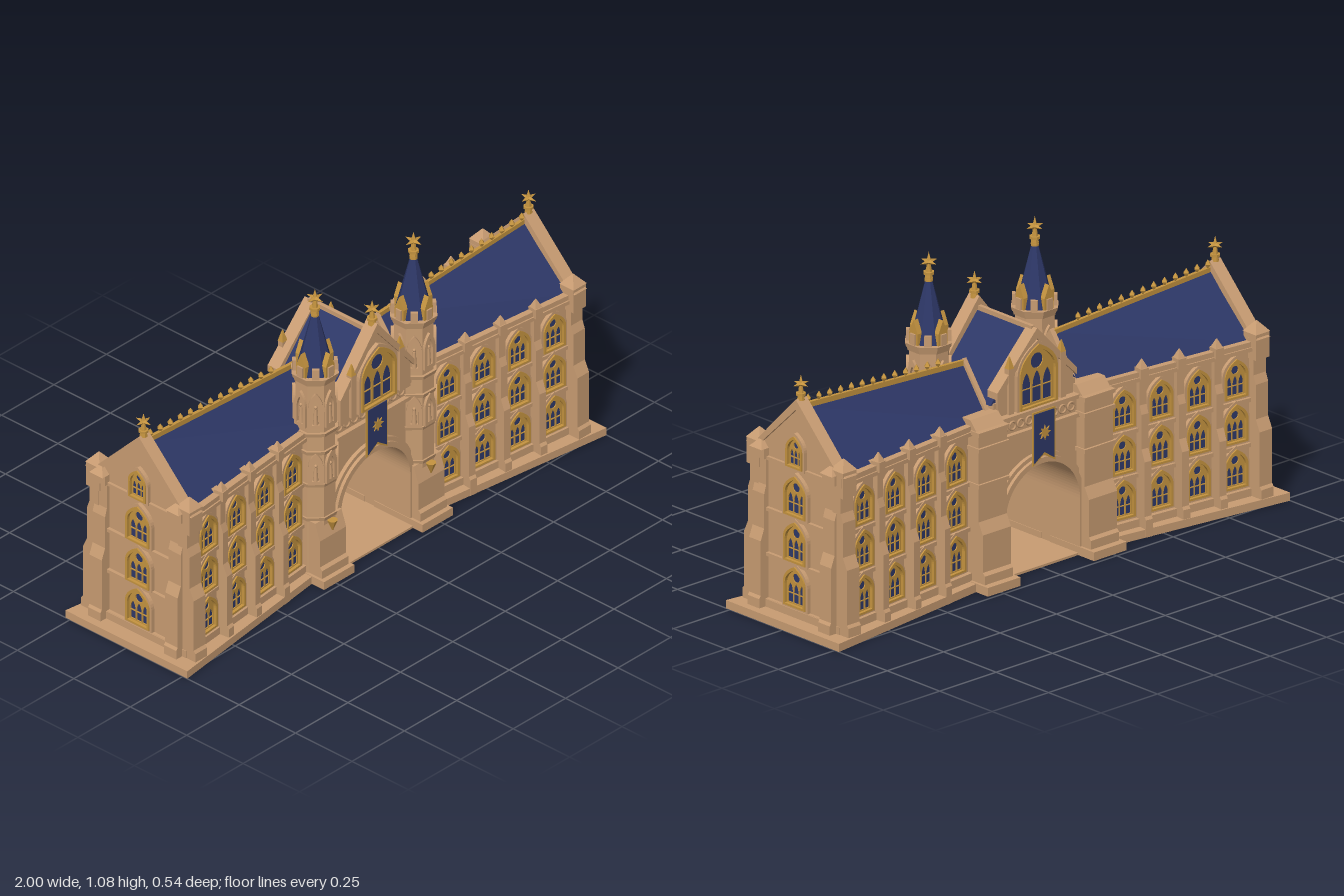
import * as THREE from 'three';

const stone = new THREE.MeshStandardMaterial({ color: 0xc89c72 });
stone.name = 'warm stone';
const gold = new THREE.MeshStandardMaterial({ color: 0xc4933f });
gold.name = 'gold';
const navy = new THREE.MeshStandardMaterial({ color: 0x2e3868 });
navy.name = 'navy slate';

function add(parent, name, geo, mat, x = 0, y = 0, z = 0) {
  const m = new THREE.Mesh(geo, mat);
  m.name = name;
  m.position.set(x, y, z);
  parent.add(m);
  return m;
}
function group(parent, name, x = 0, y = 0, z = 0, ry = 0) {
  const g = new THREE.Group();
  g.name = name;
  g.position.set(x, y, z);
  g.rotation.y = ry;
  parent.add(g);
  return g;
}
const box = (w, h, d) => new THREE.BoxGeometry(w, h, d);
function flat(geo) {
  const g = geo.index ? geo.toNonIndexed() : geo;
  g.computeVertexNormals();
  return g;
}
// Prism with n sides, a flat face towards +z
const prism = (rt, rb, h, n = 8) => flat(new THREE.CylinderGeometry(rt, rb, h, n).rotateY(Math.PI / n));
const poly = pts => new THREE.Shape(pts.map(p => new THREE.Vector2(...p)));
const extrude = (shape, depth) => new THREE.ExtrudeGeometry(shape, { depth, bevelEnabled: false, curveSegments: 8 });

// Solid between two cross-sections of [z, y] points at x0 and x1
function loft(x0, s0, x1, s1) {
  const v = [], n = s0.length;
  const a = i => v.push(x0, s0[i % n][1], s0[i % n][0]);
  const b = i => v.push(x1, s1[i % n][1], s1[i % n][0]);
  for (let i = 0; i < n; i++) {
    a(i); a(i + 1); b(i + 1);
    a(i); b(i + 1); b(i);
    if (i > 0 && i < n - 1) {
      b(0); b(i); b(i + 1);
      a(0); a(i + 1); a(i);
    }
  }
  const g = new THREE.BufferGeometry();
  g.setAttribute('position', new THREE.Float32BufferAttribute(v, 3));
  g.computeVertexNormals();
  return g;
}
const rect = (h, y0, y1) => [[h, y0], [-h, y0], [-h, y1], [h, y1]];

// Pointed arch outline standing on y
function arch(w, h, x = 0, y = 0, T = THREE.Shape) {
  const s = h * 0.55, c = s + (h - s) * 0.6, p = new T();
  p.moveTo(x - w / 2, y);
  p.lineTo(x + w / 2, y);
  p.lineTo(x + w / 2, y + s);
  p.quadraticCurveTo(x + w / 2, y + c, x, y + h);
  p.quadraticCurveTo(x - w / 2, y + c, x - w / 2, y + s);
  p.closePath();
  return p;
}
const cache = {};
function windowParts(w, h) {
  const key = w + '/' + h;
  if (cache[key]) return cache[key];
  const frame = arch(w + 0.032, h + 0.034, 0, -0.013);
  frame.holes.push(arch(w, h, 0, 0, THREE.Path));
  const hood = arch(w + 0.016, h + 0.016, 0, -0.006);
  hood.holes.push(arch(w * 0.98, h * 0.98, 0, 0.001, THREE.Path));
  const tracery = arch(w, h);
  for (let i = -1; i <= 1; i++) tracery.holes.push(arch(w * 0.25, h * 0.54, i * w * 0.305, h * 0.04, THREE.Path));
  const rose = new THREE.Path();
  rose.absarc(0, h * 0.75, w * 0.18, 0, Math.PI * 2);
  tracery.holes.push(rose);
  return (cache[key] = { frame: extrude(frame, 0.014), hood: extrude(hood, 0.019), tracery: extrude(tracery, 0.008),
    glass: extrude(arch(w, h), 0.003), bar: box(w * 0.95, 0.003, 0.008) });
}
function addWindow(parent, x, y, z, w, h) {
  const g = group(parent, 'window', x, y, z), p = windowParts(w, h);
  add(g, 'windowSurround', p.frame, stone);
  add(g, 'windowMoulding', p.hood, gold);
  add(g, 'tracery', p.tracery, gold);
  add(g, 'glass', p.glass, navy, 0, 0, 0.001);
  add(g, 'glazingBar', p.bar, gold, 0, h * 0.3, 0.004);
}

// Stepped buttress facing local +z with a small pinnacle
function buttress(parent, x, z, w, ry = 0, s = 1) {
  const g = group(parent, 'buttress', x, 0, z, ry);
  const shape = poly([[-0.02, 0], [0.052 * s, 0], [0.052 * s, 0.06], [0.045 * s, 0.07], [0.045 * s, 0.26],
    [0.028 * s, 0.3], [0.028 * s, 0.42], [0.018 * s, 0.45], [0.018 * s, 0.56], [-0.02, 0.575]]);
  add(g, 'buttressShaft', extrude(shape, w).translate(0, 0, -w / 2).rotateY(-Math.PI / 2), stone);
  add(g, 'pinnacleBlock', box(w * 1.1, 0.035, 0.036), stone, 0, 0.56, 0.01);
  add(g, 'pinnacle', prism(0.002, w * 0.75, 0.03, 4), stone, 0, 0.592, 0.01);
}
function finial(parent, x, y, z, h, mat = gold) {
  const g = group(parent, 'finial', x, y, z);
  add(g, 'finialStem', prism(h * 0.06, h * 0.16, h * 0.7), mat, 0, h * 0.35, 0);
  add(g, 'finialCollar', prism(h * 0.2, h * 0.2, h * 0.1), mat, 0, h * 0.25, 0);
  for (const [sx, sy, sz] of [[0.4, 0.12, 0.12], [0.12, 0.38, 0.12], [0.12, 0.12, 0.4]])
    add(g, 'finialStar', new THREE.OctahedronGeometry(h), mat, 0, h * 0.66, 0).scale.set(sx, sy, sz);
}
// Gable wall with a raised coping, spanning local x
function gable(parent, hw, y0, eave, apex, depth, z) {
  add(parent, 'gableWall', extrude(poly([[-hw, y0], [hw, y0], [hw, eave], [0, apex], [-hw, eave]]), depth), stone, 0, 0, z);
  const e = hw + 0.008, t = 0.024;
  add(parent, 'gableCoping', extrude(poly([[-e, eave - t], [-e, eave], [0, apex + 0.012], [e, eave], [e, eave - t], [0, apex - t]]),
    depth + 0.018), stone, 0, 0, z - 0.009);
}

function wing(parent, ry) {
  const g = group(parent, 'wing', 0, 0, 0, ry);
  add(g, 'wingBase', loft(0.17, rect(0.16, 0, 0.028), 1, rect(0.27, 0, 0.028)), stone);
  add(g, 'wingPlinth', loft(0.17, rect(0.135, 0.02, 0.055), 0.945, rect(0.213, 0.02, 0.055)), stone);
  add(g, 'wingWalls', loft(0.2, rect(0.12, 0, 0.555), 0.93, rect(0.198, 0, 0.555)), stone);
  const tri = (h, e, r) => [[h, e], [-h, e], [0, r]];
  add(g, 'wingRoof', loft(0.2, tri(0.122, 0.552, 0.72), 0.92, tri(0.198, 0.552, 0.757)), navy);
  add(g, 'innerCoping', loft(0.185, tri(0.135, 0.55, 0.735), 0.203, tri(0.137, 0.55, 0.736)), stone);
  // Golden ridge crest
  add(g, 'ridgeCrest', loft(0.2, rect(0.006, 0.71, 0.73), 0.92, rect(0.006, 0.747, 0.767)), gold);
  for (let i = 0; i < 13; i++) {
    const x = 0.31 + i * 0.048;
    add(g, 'crestBud', new THREE.OctahedronGeometry(0.012), gold, x, 0.742 + (x - 0.2) * 0.051, 0).scale.y = 1.4;
  }
  // Two long facades
  for (const side of [1, -1]) {
    const f = group(g, 'facade', 0.6, 0, side * 0.162, side > 0 ? -0.107 : Math.PI + 0.107);
    for (const [y, d] of [[0.205, 0.022], [0.362, 0.022], [0.54, 0.04]]) add(f, 'stringCourse', box(0.68, 0.014, d), stone, 0, y, 0);
    add(f, 'parapet', box(0.68, 0.02, 0.03), stone, 0, 0.555, 0);
    for (const x of [-0.228, -0.076, 0.076, 0.228])
      for (const y of [0.075, 0.232, 0.389]) addWindow(f, x, y, 0, 0.078, 0.12);
    for (const x of [-0.152, 0, 0.152]) buttress(f, x, 0, 0.028);
    // Corner buttresses and pinnacles
    buttress(g, 0.915, side * 0.196, 0.055, side > 0 ? 0 : Math.PI, 1.1);
    buttress(g, 0.925, side * 0.168, 0.055, Math.PI / 2, 0.9);
    add(g, 'cornerBlock', box(0.06, 0.09, 0.06), stone, 0.915, 0.55, side * 0.2);
    add(g, 'cornerCap', prism(0.004, 0.045, 0.035, 4), stone, 0.915, 0.612, side * 0.2);
  }
  // End wall
  const end = group(g, 'endWall', 0.93, 0, 0, Math.PI / 2);
  gable(end, 0.185, 0.54, 0.59, 0.775, 0.03, -0.028);
  for (const y of [0.05, 0.21, 0.367, 0.545]) add(end, 'stringCourse', box(0.29, 0.012, 0.024), stone, 0, y, 0);
  for (const y of [0.07, 0.225, 0.385]) addWindow(end, 0, y, 0.001, 0.088, 0.125);
  addWindow(end, 0, 0.555, 0.003, 0.06, 0.095);
  finial(end, 0, 0.78, -0.012, 0.085);
}

function niche(parent, angle, r, y, w, h) {
  const n = group(parent, 'niche', Math.sin(angle) * r, y, Math.cos(angle) * r, angle);
  add(n, 'nicheFrame', windowParts(w, h).frame, stone).scale.set(0.75, 1, 0.7);
  add(n, 'figure', new THREE.CylinderGeometry(0.005, 0.009, h * 0.6, 8), stone, 0, h * 0.3, 0.002);
  add(n, 'figureHead', new THREE.SphereGeometry(0.006, 8, 6), stone, 0, h * 0.66, 0.003);
}

function turret(parent, x) {
  const g = group(parent, 'turret', x, 0, 0.125);
  add(g, 'turretFoot', box(0.145, 0.03, 0.215), stone, 0, 0.015, 0);
  add(g, 'turretPier', extrude(poly([[-0.05, 0], [0.09, 0], [0.09, 0.06], [0.08, 0.07], [0.08, 0.17], [0.06, 0.23], [-0.05, 0.23]]), 0.125)
    .translate(0, 0, -0.0625).rotateY(-Math.PI / 2), stone);
  add(g, 'turretShaft', prism(0.069, 0.073, 0.77), stone, 0, 0.385, 0);
  for (const [y, r] of [[0.235, 0.078], [0.365, 0.077], [0.49, 0.079], [0.56, 0.08], [0.755, 0.077], [0.768, 0.083]])
    add(g, 'turretCornice', prism(r, r - 0.004, 0.014), stone, 0, y, 0);
  add(g, 'turretCorbel', prism(0.018, 0.002, 0.04), gold, 0, 0.205, 0.078);
  for (let i = 0; i < 8; i++) {
    const a = i * Math.PI / 4;
    niche(g, a, 0.064, 0.6, 0.034, 0.1);
    if (i < 2 || i === 7) niche(g, a, 0.066, 0.385, 0.034, 0.085);
    // Battlements and gablets around the spire
    const b = group(g, 'turretCrown', Math.sin(a) * 0.068, 0.775, Math.cos(a) * 0.068, a);
    add(b, 'merlon', box(0.024, 0.04, 0.012), stone, 0, 0.018, 0);
    if (i % 2 === 0) add(b, 'gablet', extrude(poly([[-0.02, 0], [0.02, 0], [0.02, 0.04], [0, 0.085], [-0.02, 0.04]]), 0.02), gold, 0, 0, -0.02);
  }
  add(g, 'spire', prism(0.006, 0.066, 0.235), navy, 0, 0.888, 0);
  add(g, 'spireCollar', prism(0.014, 0.014, 0.012), gold, 0, 0.985, 0);
  finial(g, 0, 0.985, 0, 0.092);
}

// Carved front of the gatehouse, facing local +z
function gateFace(parent, z, ry, zGable, apex) {
  const g = group(parent, 'gateFace', 0, 0, 0, ry);
  [[0.198, 0.165, 0.014], [0.184, 0.165, 0.026]].forEach(([ro, ri, d]) => {
    const s = new THREE.Shape();
    s.moveTo(ro, 0);
    s.lineTo(ro, 0.2);
    s.absarc(0, 0.2, ro, 0, Math.PI);
    s.lineTo(-ro, 0);
    s.lineTo(-ri, 0);
    s.lineTo(-ri, 0.2);
    s.absarc(0, 0.2, ri, Math.PI, 0, true);
    s.lineTo(ri, 0);
    add(g, 'archMoulding', new THREE.ExtrudeGeometry(s, { depth: d, bevelEnabled: false, curveSegments: 24 }), stone, 0, 0, z);
  });
  for (const y of [0.485, 0.55]) add(g, 'gateCornice', box(0.36, 0.014, 0.035), stone, 0, y, z);
  for (let i = -4; i <= 4; i++) add(g, 'carvedRing', new THREE.TorusGeometry(0.014, 0.004, 6, 12), stone, i * 0.037, 0.517, z + 0.001);
  gable(g, 0.168, 0.54, 0.645, apex, 0.03, zGable - 0.03);
  addWindow(g, 0, 0.565, zGable, 0.15, 0.2);
  for (const s of [-1, 1]) {
    add(g, 'gatePinnacle', box(0.022, 0.16, 0.022), stone, s * 0.115, 0.635, zGable);
    add(g, 'pinnacleTip', prism(0.002, 0.016, 0.04, 4), gold, s * 0.115, 0.735, zGable);
  }
  // Hanging banner with a rosette
  const cloth = (w, t, b) => extrude(poly([[-w, t], [-w, b], [0, b + 0.03], [w, b], [w, t]]), 0.004);
  add(g, 'bannerTrim', cloth(0.05, 0.552, 0.366), gold, 0, 0, z + 0.028);
  add(g, 'banner', cloth(0.044, 0.546, 0.376), navy, 0, 0, z + 0.031);
  const star = [];
  for (let i = 0; i < 16; i++) {
    const r = i % 2 ? 0.013 : 0.026, a = i * Math.PI / 8;
    star.push([Math.cos(a) * r, Math.sin(a) * r]);
  }
  add(g, 'bannerRosette', extrude(poly(star), 0.004), gold, 0, 0.475, z + 0.034);
  return g;
}

export function createModel() {
  const model = new THREE.Group();
  model.name = 'gatehouse';
  wing(model, 0);
  wing(model, Math.PI);
  // Gatehouse body with the arched passage
  const body = poly([[0.165, 0], [0.25, 0], [0.25, 0.555], [-0.25, 0.555], [-0.25, 0], [-0.165, 0], [-0.165, 0.2]]);
  body.absarc(0, 0.2, 0.165, Math.PI, 0, true);
  add(model, 'gateBody', new THREE.ExtrudeGeometry(body, { depth: 0.29, bevelEnabled: false, curveSegments: 24 }), stone, 0, 0, -0.14);
  add(model, 'passageFloor', box(0.36, 0.008, 0.35), stone, 0, 0.004, 0.015);
  add(model, 'gateRoof', extrude(poly([[-0.19, 0.6], [0.19, 0.6], [0, 0.822]]), 0.28), navy, 0, 0, -0.12);
  add(model, 'gateRoofBase', box(0.36, 0.06, 0.27), stone, 0, 0.575, 0.01);
  add(model, 'gateRidge', box(0.014, 0.016, 0.28), stone, 0, 0.822, 0.02);
  const front = gateFace(model, 0.15, 0, 0.175, 0.85);
  finial(front, 0, 0.85, 0.16, 0.09);
  gateFace(model, 0.14, Math.PI, 0.13, 0.815);
  for (const s of [-1, 1]) {
    turret(model, s * 0.235);
    // Rear piers
    const r = group(model, 'rearPier', s * 0.235, 0, -0.13, Math.PI);
    add(r, 'rearPierFoot', box(0.145, 0.03, 0.21), stone, 0, 0.015, 0);
    add(r, 'rearPierShaft', extrude(poly([[-0.04, 0], [0.08, 0], [0.08, 0.06], [0.07, 0.07], [0.07, 0.2], [0.05, 0.24], [0.05, 0.54], [0.01, 0.585], [-0.04, 0.585]]), 0.125)
      .translate(0, 0, -0.0625).rotateY(-Math.PI / 2), stone);
    for (const y of [0.365, 0.49, 0.545]) add(r, 'rearPierBand', box(0.135, 0.014, 0.11), stone, 0, y, 0.003);
  }
  return model;
}
